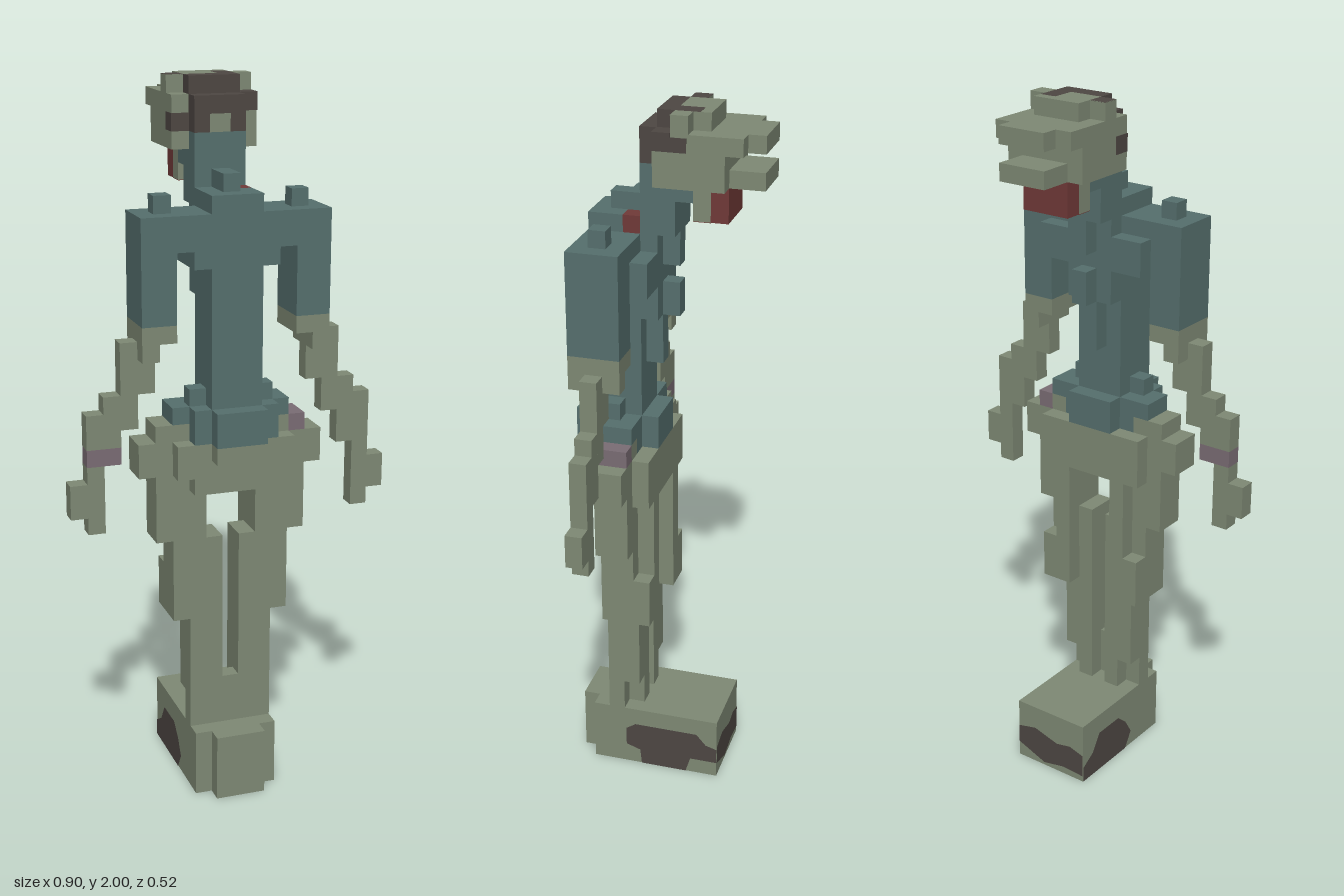
import * as THREE from 'three';

const U = 2 / 42; // one block of the build grid

function material(name, color) {
  const m = new THREE.MeshStandardMaterial({ color });
  m.name = name;
  return m;
}

export function createModel() {
  const model = new THREE.Group();
  model.name = 'blockFigure';
  const sage = material('sage', 0x7f8a75);
  const teal = material('teal', 0x56706e);
  const brown = material('brown', 0x4e4743);
  const red = material('red', 0x713a38);
  const mauve = material('mauve', 0x7b6d75);

  // Box between grid limits: x, y, z as [from, to]
  function box(name, mat, x, y, z) {
    const g = new THREE.BoxGeometry((x[1] - x[0]) * U, (y[1] - y[0]) * U, (z[1] - z[0]) * U);
    g.translate((x[0] + x[1]) * U / 2, (y[0] + y[1]) * U / 2, (z[0] + z[1]) * U / 2);
    const m = new THREE.Mesh(g, mat);
    m.name = name;
    model.add(m);
    return m;
  }
  // The same box on both sides
  function pair(name, mat, x, y, z) {
    box(name + 'Left', mat, x, y, z);
    box(name + 'Right', mat, [-x[1], -x[0]], y, z);
  }
  // Flat painted patch, drawn in grid units then turned into place
  function patch(name, mat, points, position, rotation) {
    const shape = new THREE.Shape(points.map(([a, b]) => new THREE.Vector2(a * U, b * U)));
    const m = new THREE.Mesh(new THREE.ShapeGeometry(shape), mat);
    m.name = name;
    m.position.set(...position.map((v) => v * U));
    m.rotation.set(...rotation);
    model.add(m);
  }

  // Base
  box('base', sage, [-2.5, 2.5], [0, 4], [-3.5, 4.5]);
  box('baseFront', sage, [-1.5, 1.5], [0, 4], [4.5, 5.5]);
  const e = 0.03;
  patch('baseStainLeft', brown,
    [[-2.4, 1.3], [-1.5, 1], [-1.4, 0], [1.5, 0], [1.8, 1], [3.5, 1], [3.5, 2], [2.8, 2.2], [2.2, 2.9], [-1.8, 2.9], [-2.4, 2.5]],
    [2.5 + e, 0, 0], [0, Math.PI / 2, 0]);
  patch('baseStainRight', brown,
    [[-3.5, 0], [1, 0], [1.6, 1], [1, 2], [0.2, 2.7], [-1.8, 2.7], [-2.5, 1.6], [-3.5, 1]],
    [-2.5 - e, 0, 0], [0, -Math.PI / 2, 0]);
  patch('baseStainBack', brown,
    [[-2.5, 1], [-2.5, 2.2], [-1.2, 2.5], [0.5, 2], [1.5, 2.2], [2.5, 1.9], [2.5, 0.4], [1, 0.5], [-0.5, 0.2]],
    [0, 0, -3.5 - e], [0, Math.PI, 0]);
  patch('baseStainUnder', brown,
    [[-2.5, -3], [-1.5, -3.5], [1.5, -3.3], [2.5, -1.5], [2.5, 1.5], [1.3, 2.5], [-1.5, 2.2], [-2.5, 1]],
    [0, -0.001, 0], [Math.PI / 2, 0, 0]);

  // Lower legs
  box('shinBridge', sage, [-0.5, 0.5], [4, 7], [2.5, 3.5]);
  pair('shin', sage, [0.5, 2.5], [4, 11], [2.5, 3.5]);
  pair('calf', sage, [0.5, 2.5], [6, 11], [1.5, 2.5]);
  pair('ankle', sage, [0.5, 1.5], [4, 6], [1.5, 2.5]);

  // Thighs
  pair('knee', sage, [0.5, 3.5], [11, 16], [1.5, 3.5]);
  pair('kneeBack', sage, [1.5, 3.5], [11, 14], [0.5, 1.5]);
  pair('thighBack', sage, [1.5, 2.5], [14, 19], [0.5, 1.5]);
  pair('thigh', sage, [1.5, 4.5], [16, 19], [1.5, 3.5]);

  // Hips
  box('pelvis', sage, [-4.5, 4.5], [19, 22], [1.5, 3.5]);
  box('pelvisFront', sage, [-2.5, 2.5], [19, 20], [3.5, 4.5]);
  box('beltFront', sage, [-3.5, 3.5], [20, 22], [3.5, 4.5]);
  box('pelvisBack', sage, [-3.5, 3.5], [19, 22], [0.5, 1.5]);
  pair('hipPoint', sage, [4.5, 5.5], [20, 22], [1.5, 3.5]);
  box('hipRight', sage, [-4.5, -2.5], [22, 23], [1.5, 3.5]);
  box('hipLeft', sage, [2.5, 3.5], [22, 23], [1.5, 3.5]);
  box('hipSpot', mauve, [3.5, 4.5], [22, 23], [1.5, 3.5]);
  box('beltKnob', sage, [-1.5, 1.5], [21, 22], [4.5, 5.5]);

  // Waist
  box('waist', teal, [-2.5, 2.5], [22, 24], [1.5, 4.5]);
  box('waistFront', teal, [-1.5, 1.5], [22, 24], [4.5, 5.5]);
  box('waistBack', teal, [-1.5, 1.5], [22, 24], [0.5, 1.5]);
  pair('waistSide', teal, [2.5, 3.5], [23, 24], [1.5, 3.5]);
  pair('waistTop', teal, [1.5, 2.5], [24, 25], [2.5, 3.5]);

  // Torso, shoulders and spine
  box('torso', teal, [-1.5, 1.5], [24, 35], [1.5, 4.5]);
  box('collarFront', teal, [-1.5, 1.5], [35, 36], [2.5, 4.5]);
  box('collarBack', teal, [-1.5, 0.5], [35, 36], [1.5, 2.5]);
  box('collarSpot', red, [0.5, 1.5], [35, 36], [1.5, 2.5]);
  box('collarTop', teal, [-0.5, 0.5], [36, 37], [1.5, 3.5]);
  pair('shoulder', teal, [1.5, 3.5], [33, 35], [1.5, 4.5]);
  pair('underShoulder', teal, [1.5, 2.5], [32, 33], [1.5, 4.5]);
  pair('shoulderBlade', teal, [1.5, 3.5], [32, 34], [0.5, 1.5]);
  pair('shoulderKnob', teal, [3.5, 4.5], [35, 36], [2.5, 3.5]);
  box('upperBack', teal, [-1.5, 1.5], [30, 37], [0.5, 1.5]);
  box('lowerBack', teal, [-0.5, 0.5], [27, 30], [0.5, 1.5]);
  for (const y of [30, 33]) box('spineKnob', teal, [-0.5, 0.5], [y, y + 2], [-0.5, 0.5]);
  box('nape', teal, [-1.5, 1.5], [35, 37], [-0.5, 0.5]);

  // Arms
  pair('sleeve', teal, [3.5, 5.5], [29, 35], [1.5, 4.5]);
  pair('elbow', sage, [3.5, 5.5], [28, 29], [1.5, 4.5]);
  pair('elbowTip', sage, [4.5, 5.5], [27, 28], [1.5, 4.5]);
  const z = [2.5, 3.5];
  pair('forearm', sage, [4.5, 5.5], [25, 27], z);
  pair('forearmOuter', sage, [5.5, 6.5], [23, 28], z);
  pair('wrist', sage, [6.5, 7.5], [22, 25], z);
  pair('wristOuter', sage, [7.5, 8.5], [22, 24], z);
  box('wristSpot', mauve, [-8.5, -6.5], [21, 22], z);
  box('wristEnd', sage, [6.5, 8.5], [21, 22], z);
  pair('hand', sage, [7.5, 8.5], [17, 21], z);
  pair('thumb', sage, [8.5, 9.5], [18, 20], z);

  // Neck
  box('neck', teal, [-1.5, 1.5], [37, 38], [-1.5, 1.5]);
  box('neckFront', teal, [-1.5, 1.5], [38, 39], [0.5, 1.5]);

  // Head
  box('head', sage, [-2.5, 2.5], [38, 40], [-3.5, 0.5]);
  box('brim', sage, [-2.5, 2.5], [40, 41], [-4.5, 0.5]);
  box('brimTip', sage, [-1.5, 1.5], [40, 41], [-5.5, -4.5]);
  box('lip', sage, [-1.5, 1.5], [38, 39], [-5.5, -3.5]);
  box('crown', sage, [-1.5, 1.5], [41, 42], [-2.5, -0.5]);
  pair('ear', sage, [1.5, 2.5], [41, 42], [-1.5, -0.5]);
  box('hairTop', brown, [-1.5, 1.5], [41, 42], [-0.5, 0.5]);
  box('hairFront', brown, [-1.5, 1.5], [39, 41], [0.5, 1.5]);
  box('hairFrontSpot', sage, [-0.6, 0.6], [39, 40], [1.5, 1.5 + e]);
  box('hairPatchTop', brown, [0.5, 1.5], [42 - e, 42 + 0.001], [-1.9, -0.5]);
  box('earPatch', brown, [-2.5, -1.5], [42 - e, 42 + 0.001], [-1.5, -0.5]);
  box('templePatchLeft', brown, [1.5, 2.5 + e], [40, 41 + e], [-0.5, 0.5 + e]);
  box('cheekPatchLeft', brown, [2.5, 2.5 + e], [40, 40.8], [-1.4, -0.5]);
  box('templePatchRight', brown, [-2.5 - e, -1.5], [39, 40], [-0.5, 0.5 + e]);

  // Jaw
  box('jaw', sage, [-1.5, 1.5], [36, 38], [-2.5, -1.5]);
  box('mouth', red, [-1.5, 1.5], [36, 38], [-3.5, -2.5]);
  box('mouthUnder', red, [-1.5, 1.5], [36 - e, 36], [-2.5, -1.5]);

  return model;
}
